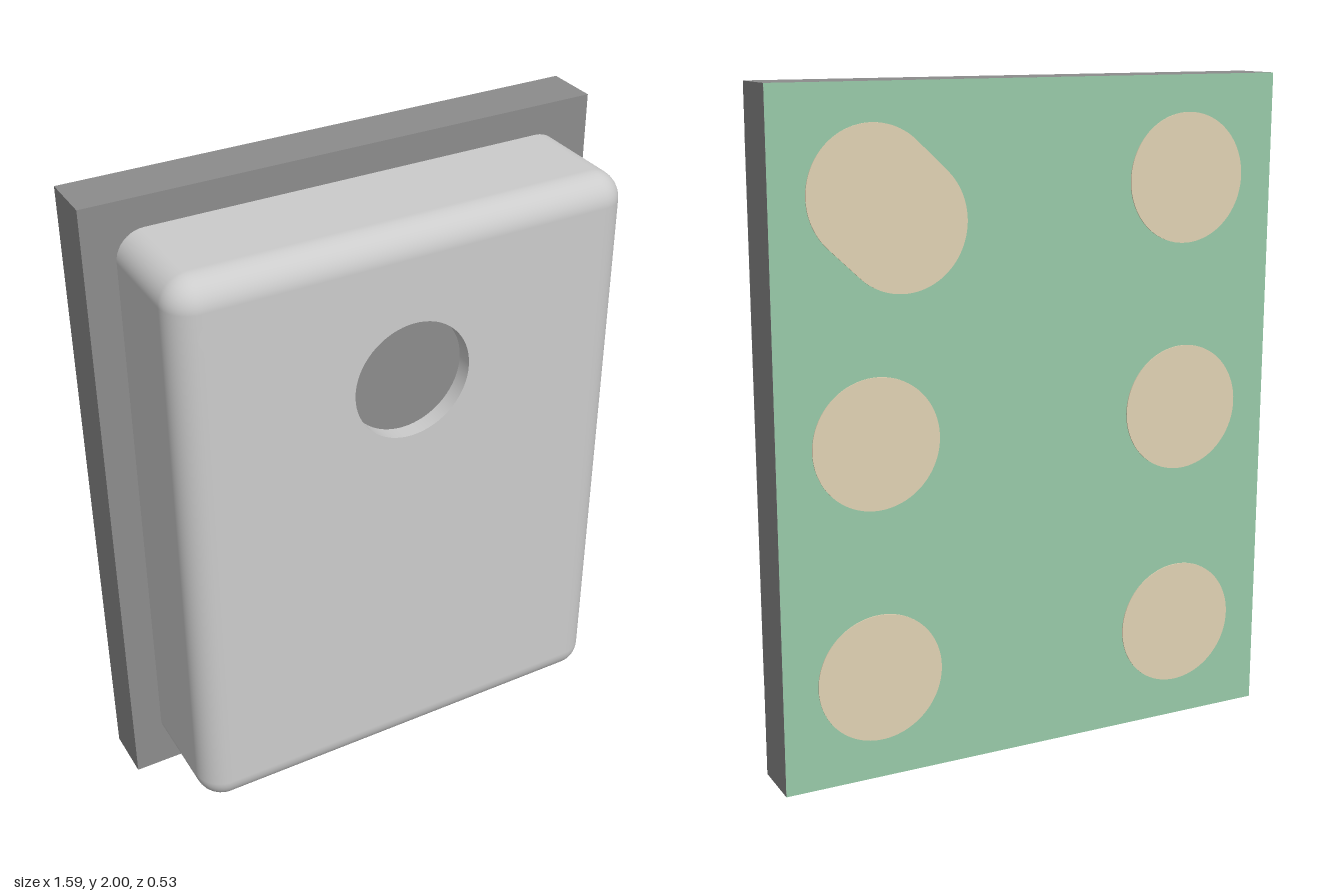
import * as THREE from 'three';

const grey = (hex) => new THREE.MeshStandardMaterial({ color: hex });

// Case dimensions
const HALF_W = 0.703, Y0 = 0.095, Y1 = 1.91, FRONT = 0.265, R = 0.085;
const BOARD_FRONT = -0.097, BOARD_BACK = -0.262;
const PORT = { y: 1.445, r: 0.183, depth: 0.05 };

// Case walls: rounded-rectangle rings that shrink along a quarter-round towards the front
function wallGeometry() {
  const pos = [], nor = [], idx = [];
  const seg = 10, steps = 10, count = 4 * (seg + 1);
  const ring = (t, z) => {
    for (let c = 0; c < 4; c++) {
      const cx = (c === 0 || c === 3 ? 1 : -1) * (HALF_W - R);
      const cy = c < 2 ? Y1 - R : Y0 + R;
      for (let i = 0; i <= seg; i++) {
        const a = (c + i / seg) * Math.PI / 2;
        const nx = Math.cos(a) * Math.cos(t), ny = Math.sin(a) * Math.cos(t);
        pos.push(cx + R * nx, cy + R * ny, z);
        nor.push(nx, ny, Math.sin(t));
      }
    }
  };
  ring(0, BOARD_FRONT);
  for (let k = 0; k <= steps; k++) {
    const t = k / steps * Math.PI / 2;
    ring(t, FRONT - R + R * Math.sin(t));
  }
  for (let k = 0; k <= steps; k++) {
    for (let i = 0; i < count; i++) {
      const j = (i + 1) % count, a = k * count + i, b = k * count + j;
      idx.push(a, b, b + count, a, b + count, a + count);
    }
  }
  const g = new THREE.BufferGeometry();
  g.setAttribute('position', new THREE.Float32BufferAttribute(pos, 3));
  g.setAttribute('normal', new THREE.Float32BufferAttribute(nor, 3));
  g.setIndex(idx);
  return g;
}

// Flat front of the case, with the port opening
function frontGeometry() {
  const w = HALF_W - R, b = Y0 + R, t = Y1 - R;
  const s = new THREE.Shape();
  s.moveTo(-w, b).lineTo(w, b).lineTo(w, t).lineTo(-w, t).closePath();
  s.holes.push(new THREE.Path().absarc(0, PORT.y, PORT.r, 0, Math.PI * 2, true));
  return new THREE.ShapeGeometry(s, 32);
}

// Pad outline: a capsule from (x0, y0) to (x1, y1); a circle when both coincide
function padGeometry(x0, y0, x1, y1, r) {
  const a = Math.atan2(y1 - y0, x1 - x0);
  const s = new THREE.Shape();
  s.absarc(x1, y1, r, a - Math.PI / 2, a + Math.PI / 2, false);
  s.absarc(x0, y0, r, a + Math.PI / 2, a + Math.PI * 1.5, false);
  return new THREE.ExtrudeGeometry(s, { depth: 0.004, bevelEnabled: false, curveSegments: 24 });
}

export function createModel() {
  const model = new THREE.Group();
  const light = grey(0xcccccc), dark = grey(0x8c8c8c);
  const green = grey(0x98caa8), gold = grey(0xe0d2b3);
  const add = (parent, name, geo, mat, x = 0, y = 0, z = 0) => {
    const m = new THREE.Mesh(geo, mat);
    m.name = name;
    m.position.set(x, y, z);
    parent.add(m);
    return m;
  };

  // Board with its green underside
  const thick = BOARD_FRONT - BOARD_BACK;
  add(model, 'board', new THREE.BoxGeometry(1.594, 2, thick), dark, 0, 1, BOARD_BACK + thick / 2);
  add(model, 'solderMask', new THREE.PlaneGeometry(1.594, 2), green, 0, 1, BOARD_BACK - 0.001).rotation.y = Math.PI;

  // Metal case
  const shell = new THREE.Group();
  shell.name = 'case';
  model.add(shell);
  add(shell, 'caseWalls', wallGeometry(), light);
  add(shell, 'caseFront', frontGeometry(), light, 0, 0, FRONT);

  // Sound port: short bore with a dark floor
  const boreMat = grey(0xcccccc);
  boreMat.side = THREE.DoubleSide;
  const bore = new THREE.CylinderGeometry(PORT.r, PORT.r, PORT.depth, 64, 1, true).rotateX(Math.PI / 2);
  add(shell, 'portBore', bore, boreMat, 0, PORT.y, FRONT - PORT.depth / 2);
  add(shell, 'portFloor', new THREE.CircleGeometry(PORT.r, 64), dark, 0, PORT.y, FRONT - PORT.depth);

  // Orientation mark, almost flush with the case front
  add(shell, 'cornerMark', new THREE.CircleGeometry(0.045, 32), light, -0.59, 1.75, FRONT + 0.0005);

  // Contact pads in two columns; the upper left one is stretched diagonally
  const pads = new THREE.Group();
  pads.name = 'pads';
  model.add(pads);
  for (const x of [-0.5, 0.5]) {
    for (const y of [0.31, 1.005, 1.7]) {
      const long = x > 0 && y > 1.5;
      const geo = padGeometry(x, y, long ? x - 0.09 : x, long ? y - 0.085 : y, 0.192);
      add(pads, long ? 'longPad' : 'roundPad', geo, gold, 0, 0, -0.266);
    }
  }
  return model;
}
